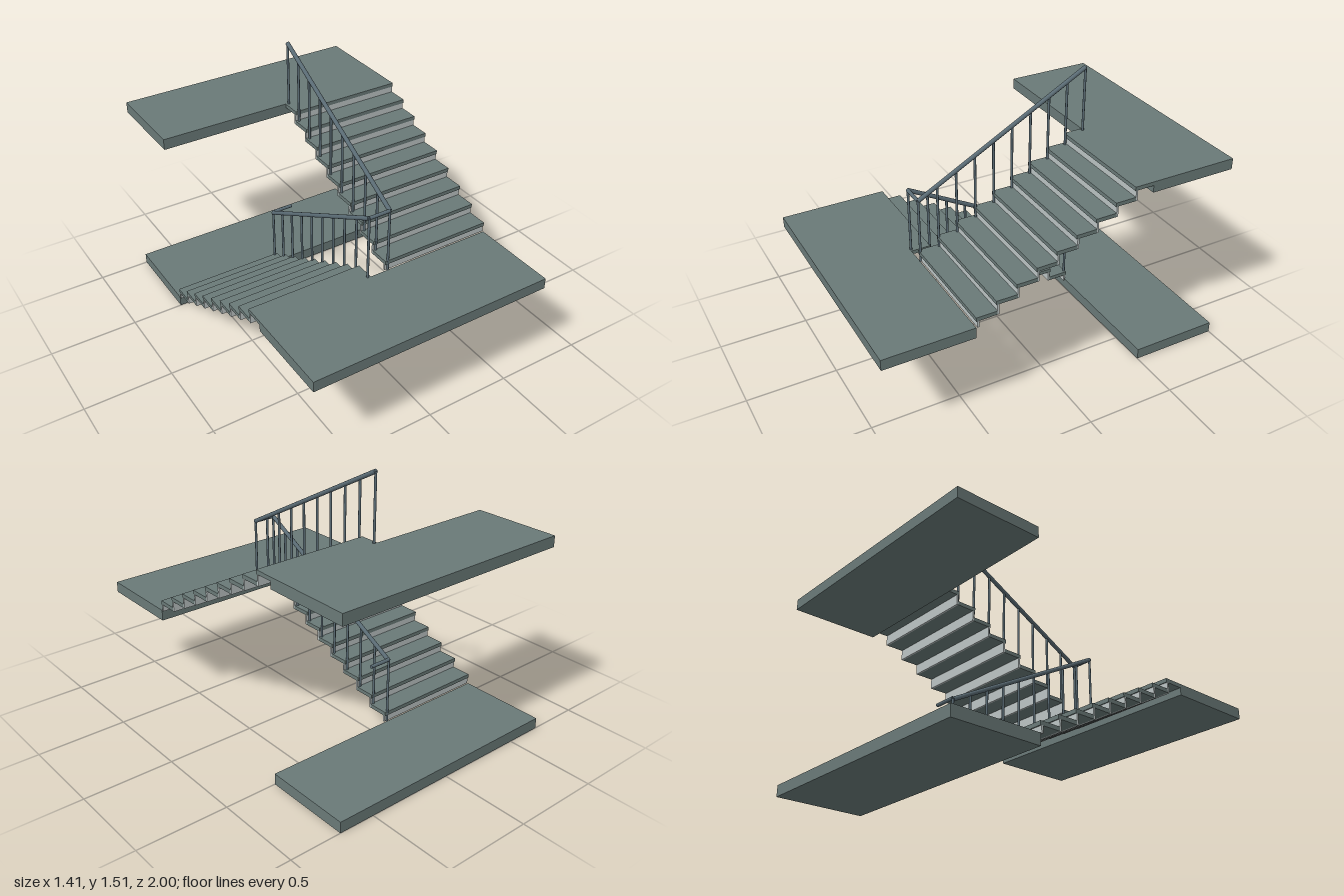
import * as THREE from 'three';

const W = 0.707;       // half width of the landings
const INNER = 0.045;   // half width of the stairwell gap
const SLAB = 0.062;    // landing thickness
const STEPS = 9;
const RISE = 0.5345 / STEPS;
const RUN = 1 / STEPS;
const TREAD = 0.022;
const RAIL_X = 0.063;
const RAIL_Z = 0.495;
const RAIL_H = 0.37;

const concrete = new THREE.MeshStandardMaterial({ color: 0x6a7a78 });
const riserMat = new THREE.MeshStandardMaterial({ color: 0xbcc4c4 });
const metal = new THREE.MeshStandardMaterial({ color: 0x5a6b74 });

// Box given by its lower and upper corners
function box(name, x0, x1, y0, y1, z0, z1, mat) {
  const m = new THREE.Mesh(new THREE.BoxGeometry(x1 - x0, y1 - y0, Math.abs(z1 - z0)), mat);
  m.position.set((x0 + x1) / 2, (y0 + y1) / 2, (z0 + z1) / 2);
  m.name = name;
  return m;
}

// Round bar between two points
function bar(name, a, b, r) {
  const dir = b.clone().sub(a);
  const m = new THREE.Mesh(new THREE.CylinderGeometry(r, r, dir.length(), 12), metal);
  m.position.copy(a).add(b).multiplyScalar(0.5);
  m.quaternion.setFromUnitVectors(new THREE.Vector3(0, 1, 0), dir.normalize());
  m.name = name;
  return m;
}

// One flight on side sx (-1 or 1), starting at height y0 and climbing along dir in z
function flight(name, sx, y0, dir) {
  const g = new THREE.Group();
  g.name = name;
  const x0 = sx < 0 ? -W : INNER;
  const x1 = sx < 0 ? -INNER : W;
  for (let i = 0; i < STEPS; i++) {
    const z = -0.5 + i * RUN;
    const top = y0 + (i + 1) * RISE;
    const zEnd = Math.min(z + RUN + 0.006, 0.5);
    g.add(box('tread', x0, x1, top - TREAD, top, dir * z, dir * zEnd, concrete));
    const bottom = i ? top - RISE - TREAD : y0;
    g.add(box('riser', x0, x1, bottom, top - TREAD, dir * (z + 0.006), dir * (z + 0.016), riserMat));
  }
  return g;
}

// Sloping handrail with a baluster at every step line
function railing(name, sx, y0, dir) {
  const g = new THREE.Group();
  g.name = name;
  const x = sx * RAIL_X;
  const at = (t, h) => new THREE.Vector3(x, y0 + t * STEPS * RISE + h, dir * RAIL_Z * (2 * t - 1));
  for (let i = 0; i <= STEPS; i++) {
    const t = i / STEPS;
    g.add(bar('baluster', at(t, 0), at(t, RAIL_H), 0.007));
  }
  g.add(bar('handrail', at(0, RAIL_H), at(1, RAIL_H), 0.012));
  return g;
}

export function createModel() {
  const model = new THREE.Group();
  model.name = 'staircase';
  const y1 = SLAB, y2 = y1 + STEPS * RISE, y3 = y2 + STEPS * RISE;

  // Landings
  model.add(box('lowerLanding', -W, W, 0, y1, -1, -0.5, concrete));
  model.add(box('middleLanding', -W, W, y2 - SLAB, y2, 0.5, 1, concrete));
  model.add(box('upperLanding', -W, W, y3 - SLAB, y3, -1, -0.5, concrete));

  // Flights and their railings
  model.add(flight('lowerFlight', -1, y1, 1), flight('upperFlight', 1, y2, -1));
  model.add(railing('lowerRailing', -1, y1, 1), railing('upperRailing', 1, y2, -1));

  // Level bars across the stairwell
  for (const [y, z] of [[y1 + RAIL_H + 0.006, -RAIL_Z], [y2 + RAIL_H, RAIL_Z]]) {
    model.add(bar('crossRail', new THREE.Vector3(-RAIL_X, y, z), new THREE.Vector3(RAIL_X, y, z), 0.01));
  }
  return model;
}
